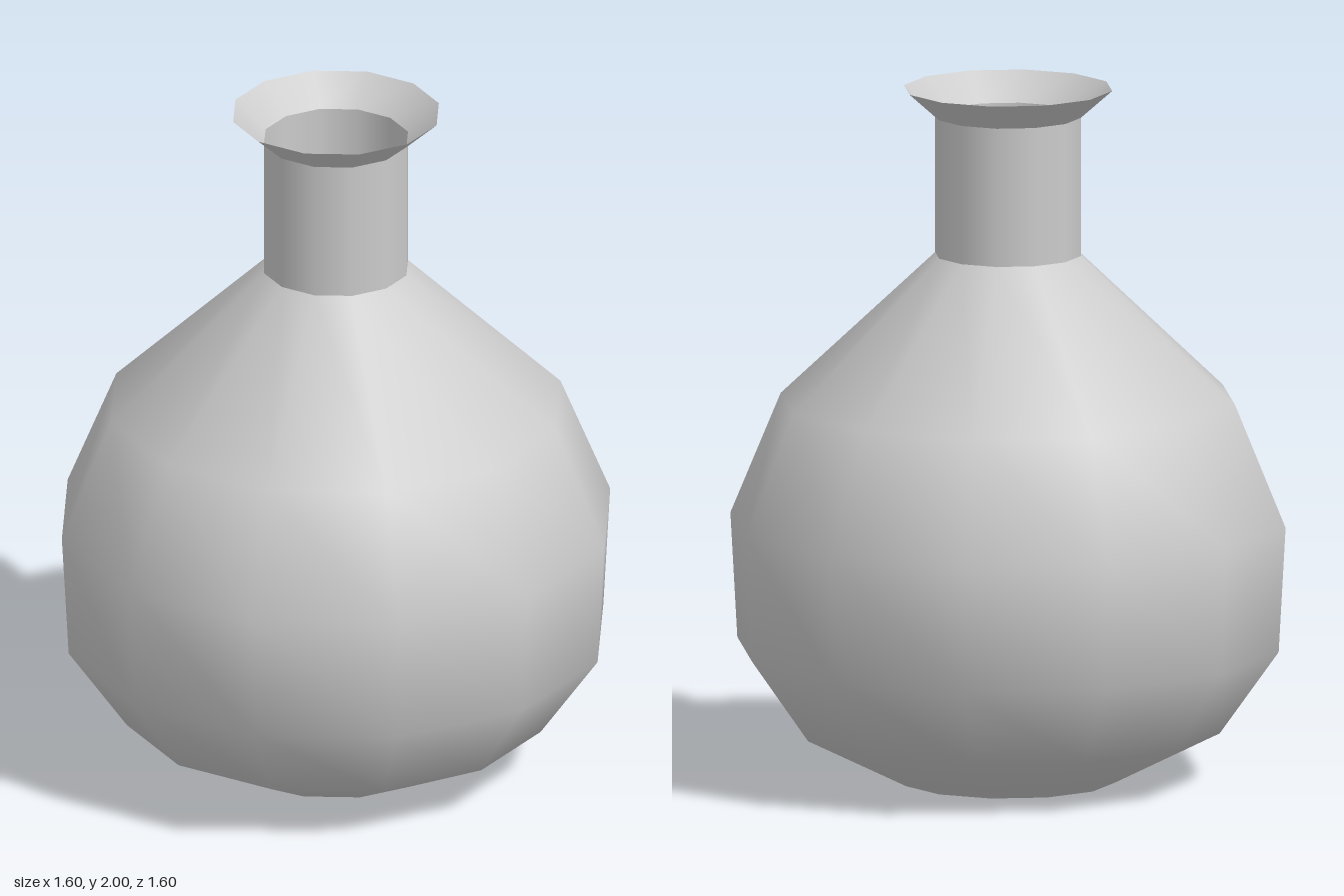
import * as THREE from 'three';

const SIDES = 12;

export function createModel() {
  const flask = new THREE.Group();
  flask.name = 'flask';
  const material = new THREE.MeshStandardMaterial({ color: 0xcccccc, side: THREE.DoubleSide });

  // Each part is its own turned shell, smooth inside and creased where parts meet
  function addTurned(name, profile) {
    const points = profile.map(([r, y]) => new THREE.Vector2(r, y));
    const mesh = new THREE.Mesh(new THREE.LatheGeometry(points, SIDES), material);
    mesh.name = name;
    flask.add(mesh);
  }

  // Flat base, closing the bulb
  const base = new THREE.Mesh(new THREE.CircleGeometry(0.31, SIDES), material);
  base.rotation.x = Math.PI / 2;
  base.name = 'base';
  flask.add(base);

  // Round bulb with sloping shoulders
  addTurned('bulb', [
    [0.31, 0], [0.61, 0.15], [0.78, 0.39], [0.8, 0.75], [0.655, 1.1], [0.21, 1.52],
  ]);

  // Straight open neck
  addTurned('neck', [[0.21, 1.52], [0.21, 1.92]]);

  // Flared lip
  addTurned('lip', [[0.21, 1.92], [0.3, 2]]);

  return flask;
}
